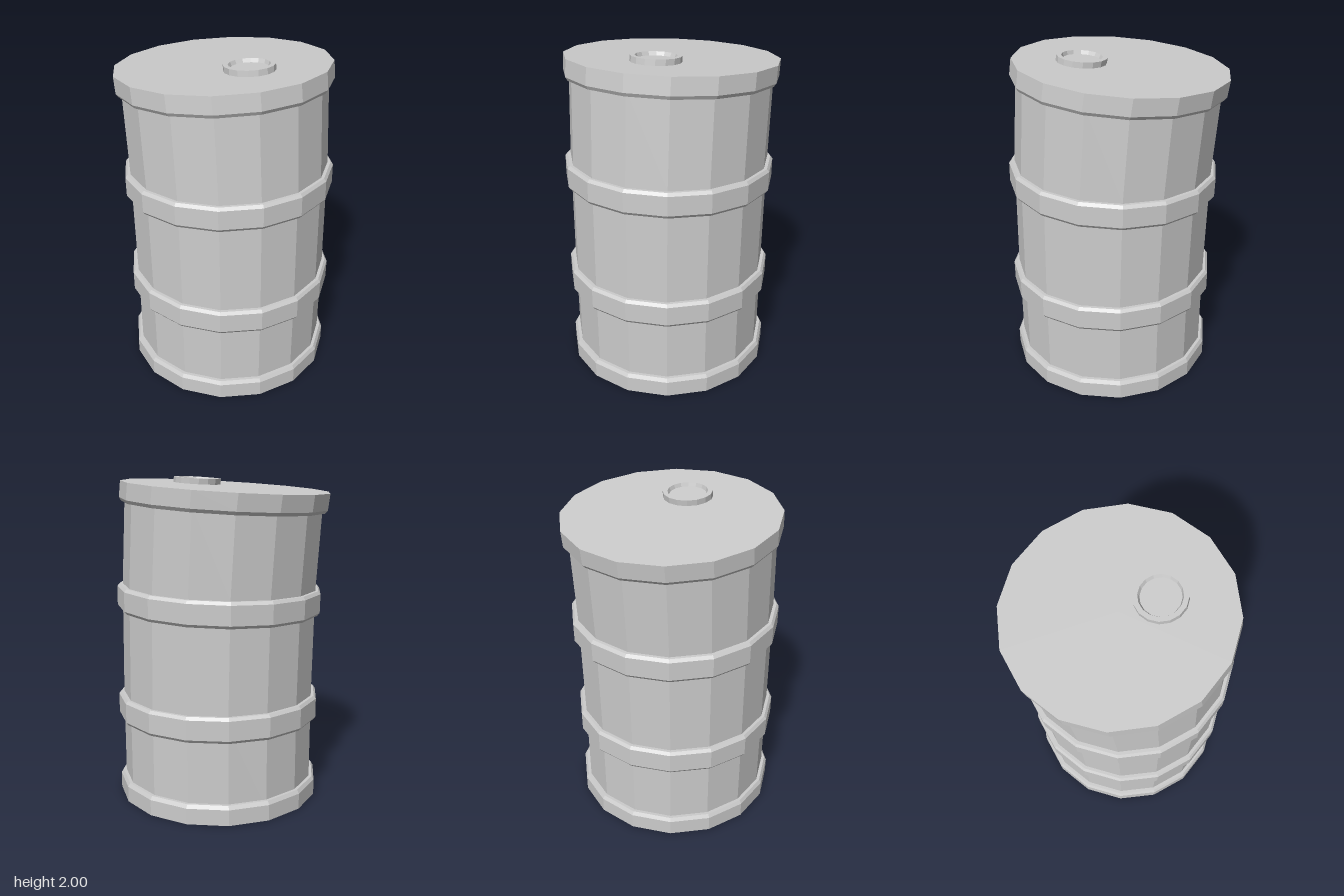
import * as THREE from 'three';

const SIDES = 16;

// spine stations: height, z offset, tilt about x
const SPINE = [
  [0, 0.03, 0],
  [0.655, 0.03, 0],
  [1.183, 0.02, 0.034],
  [1.335, 0.017, 0.034],
  [1.82, -0.015, 0.073],
  [1.94, -0.032, 0.075],
];

// bends a geometry along the leaning spine
function bend(geometry) {
  const p = geometry.attributes.position;
  for (let i = 0; i < p.count; i++) {
    const y = p.getY(i), z = p.getZ(i);
    let k = 0;
    while (k < SPINE.length - 2 && y > SPINE[k + 1][0]) k++;
    const [y0, z0, t0] = SPINE[k], [y1, z1, t1] = SPINE[k + 1];
    const f = (y - y0) / (y1 - y0);
    const tilt = t0 + (t1 - t0) * Math.min(f, 1);
    p.setY(i, y + z * Math.sin(tilt));
    p.setZ(i, z0 + (z1 - z0) * f + z * Math.cos(tilt));
  }
  return geometry;
}

// faceted turned part from [radius, height] pairs, optionally off-centre
function turned(name, profile, material, z = 0) {
  const points = profile.map(([r, y]) => new THREE.Vector2(r, y));
  const lathe = new THREE.LatheGeometry(points, SIDES).translate(0, 0, z);
  const geometry = bend(lathe).toNonIndexed();
  geometry.computeVertexNormals();
  const mesh = new THREE.Mesh(geometry, material);
  mesh.name = name;
  return mesh;
}

export function createModel() {
  const group = new THREE.Group();
  group.name = 'barrel';
  const metal = new THREE.MeshStandardMaterial({ color: 0xcccccc });
  metal.name = 'light grey metal';

  const R = 0.605, OUT = 0.638, RIM = 0.624;

  // drum wall, with rings at each change of lean
  group.add(turned('drumWall',
    [0.06, 0.58, 0.655, 1.183, 1.335, 1.85].map((y) => [R, y]), metal));

  // base rim with closed floor
  group.add(turned('baseRim',
    [[0, 0], [OUT, 0], [OUT, 0.098], [RIM, 0.12], [R - 0.01, 0.12]], metal));

  // two raised hoops
  [['lowerHoop', 0.5, 0.655], ['upperHoop', 1.183, 1.335]].forEach(([name, a, b]) => {
    group.add(turned(name,
      [[R - 0.01, a], [RIM, a], [OUT, a + 0.018], [OUT, b - 0.018], [RIM, b], [R - 0.01, b]], metal));
  });

  // lid
  group.add(turned('lid',
    [[R - 0.01, 1.82], [RIM, 1.82], [OUT, 1.84], [OUT, 1.938], [0, 1.938]], metal));

  // filler cap: raised ring with a recessed floor
  group.add(turned('fillerCap',
    [[0.148, 1.93], [0.148, 1.972], [0.12, 1.972], [0.111, 1.95], [0, 1.95]], metal, 0.234));

  return group;
}
